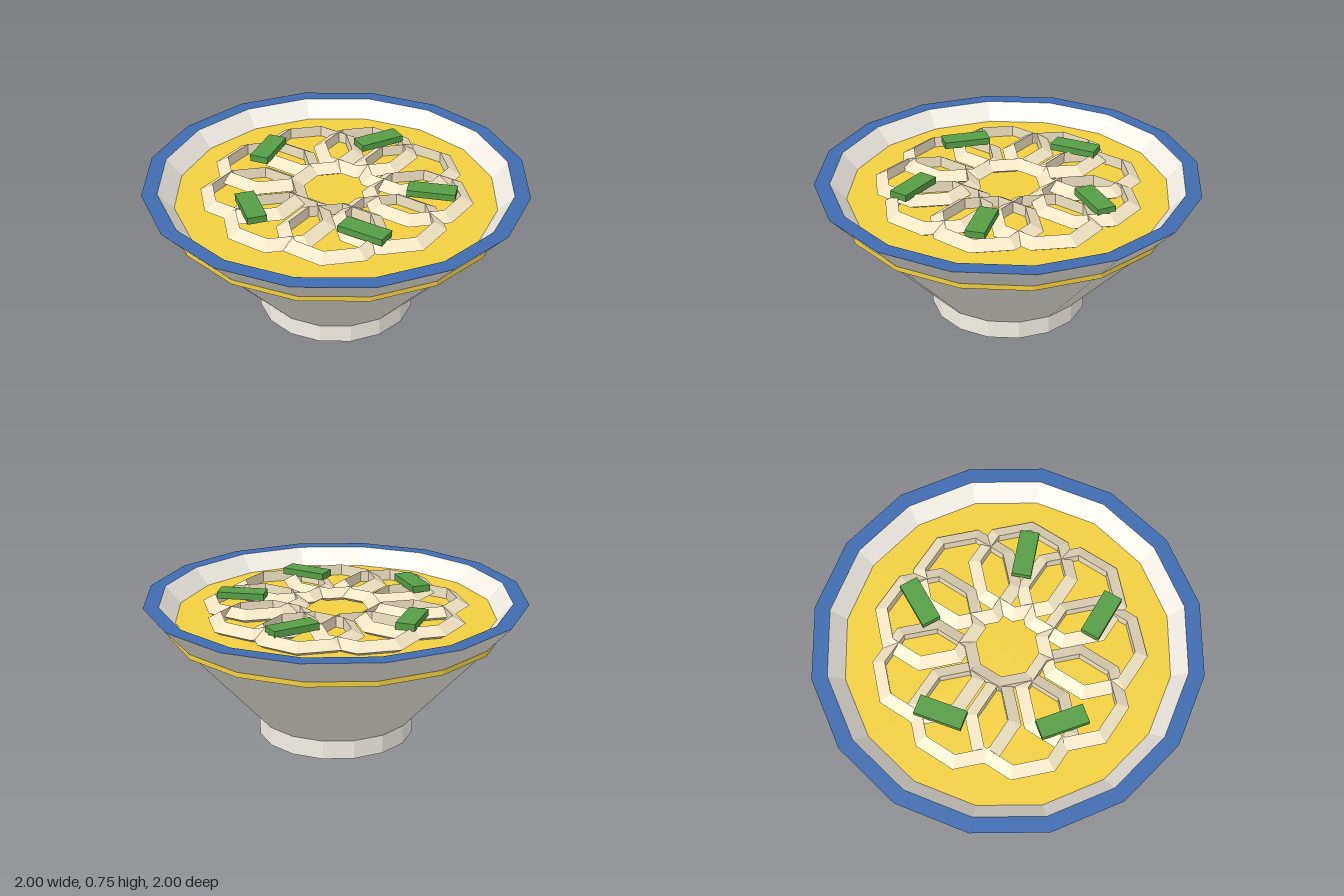
import * as THREE from 'three';

const SIDES = 16;
const paint = (color) => new THREE.MeshStandardMaterial({ color, flatShading: true });

export function createModel() {
  const model = new THREE.Group();
  const white = paint(0xf5f1e8);
  const blue = paint(0x3f6cb0);
  const yellow = paint(0xf2d040);
  const cream = paint(0xf2e4c4);
  const green = paint(0x569e46);

  const add = (name, geometry, material, x = 0, y = 0, z = 0, turn = 0) => {
    const mesh = new THREE.Mesh(geometry, material);
    mesh.name = name;
    mesh.position.set(x, y, z);
    mesh.rotation.y = turn;
    model.add(mesh);
  };
  const lathe = (points) =>
    new THREE.LatheGeometry(points.map(([r, y]) => new THREE.Vector2(r, y)), SIDES);

  // Foot and the flared bowl walls
  add('foot', new THREE.CylinderGeometry(0.415, 0.415, 0.1, SIDES), white, 0, 0.05, 0);
  add('bowlOuterWall', lathe([[0.415, 0.1], [1, 0.75]]), white);
  add('bowlInnerWall', lathe([[0.92, 0.75], [0.831, 0.65]]), white);

  // Flat coloured rim on top
  add('rim', lathe([[1, 0.75], [0.92, 0.75]]), blue);

  // Thin band around the outside and the broth surface inside
  add('outerBand', new THREE.CylinderGeometry(0.875, 0.875, 0.03, SIDES), yellow, 0, 0.6, 0);
  add('broth', new THREE.CylinderGeometry(0.845, 0.845, 0.02, SIDES), yellow, 0, 0.65, 0);

  // Nine overlapping noodle loops with a triangular section
  const loop = new THREE.TorusGeometry(0.245, 0.045, 3, 8).rotateX(Math.PI / 2);
  for (let i = 0; i < 9; i++) {
    const a = (i / 9) * Math.PI * 2;
    add('noodleLoop' + (i + 1), loop, cream, 0.425 * Math.cos(a), 0.682, 0.425 * Math.sin(a));
  }

  // Five slices of greens scattered on the noodles
  const slice = new THREE.BoxGeometry(0.25, 0.036, 0.1);
  for (let i = 0; i < 5; i++) {
    const a = i * 1.3;
    add('greenSlice' + (i + 1), slice, green, 0.5 * Math.cos(a), 0.73, -0.5 * Math.sin(a), i * 0.7);
  }

  return model;
}
